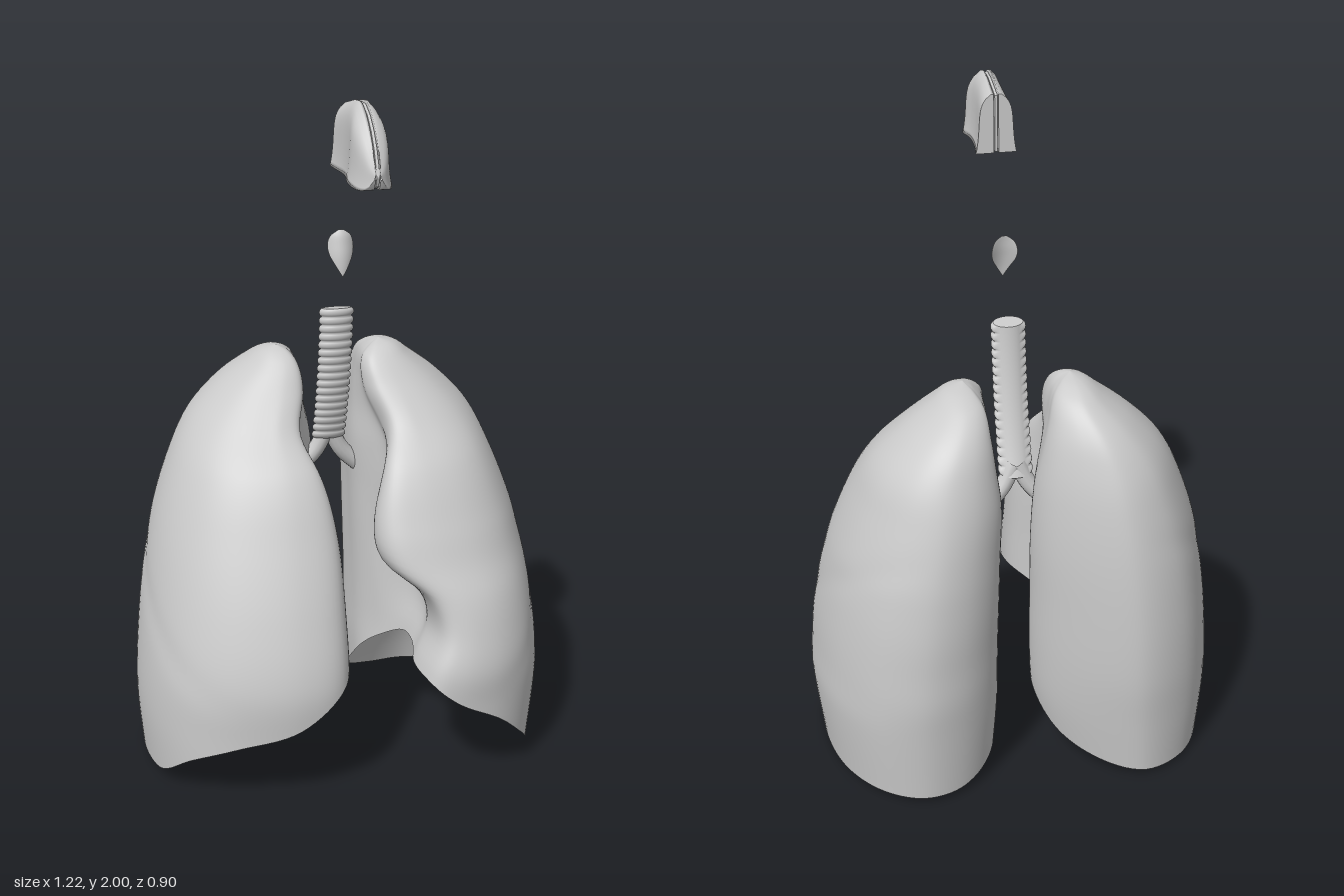
import * as THREE from 'three';

const V = (x, y, z) => new THREE.Vector3(x, y, z);
const material = new THREE.MeshStandardMaterial({ color: 0xcccccc, side: THREE.DoubleSide });

// Skin a list of closed rings (equal point counts) with smooth normals
function loft(rings, flip = false) {
  const n = rings[0].length, index = [];
  for (let j = 0; j < rings.length - 1; j++) {
    for (let i = 0; i < n; i++) {
      const a = j * n + i, c = j * n + (i + 1) % n, b = a + n, d = c + n;
      if (flip) index.push(a, c, b, b, c, d);
      else index.push(a, b, c, b, d, c);
    }
  }
  const g = new THREE.BufferGeometry().setFromPoints(rings.flat());
  g.setIndex(index);
  g.computeVertexNormals();
  return g;
}

function add(parent, name, geometry) {
  const mesh = new THREE.Mesh(geometry, material);
  mesh.name = name;
  parent.add(mesh);
}

// Smooth interpolation of column k in a table whose column 0 is the key
function sample(table, key, k) {
  const last = table.length - 1;
  let i = 0;
  while (i < last - 1 && key > table[i + 1][0]) i++;
  const slope = (a, b) => (table[b][k] - table[a][k]) / (table[b][0] - table[a][0]);
  const tangent = (j) => slope(Math.max(j - 1, 0), Math.min(j + 1, last));
  const h = table[i + 1][0] - table[i][0];
  const t = THREE.MathUtils.clamp((key - table[i][0]) / h, 0, 1), t2 = t * t, t3 = t2 * t;
  return (2 * t3 - 3 * t2 + 1) * table[i][k] + (t3 - 2 * t2 + t) * h * tangent(i)
    + (3 * t2 - 2 * t3) * table[i + 1][k] + (t3 - t2) * h * tangent(i + 1);
}

const TOP = 1.235;

// Outline seen from above, from the outer side over the front: x, z, height of the lower rim
const rightOutline = [
  [.61, 0, .03], [.58, .17, .04], [.5, .31, .13], [.38, .39, .19], [.2, .425, .245],
  [.065, .38, .35], [.03, .22, .41], [.04, .06, .37], [.035, -.06, .29], [.03, -.17, .2],
  [.08, -.29, .09], [.2, -.4, .035], [.33, -.45, .02], [.48, -.38, .02], [.58, -.2, .02],
];
const leftOutline = [
  [.61, 0, .01], [.58, .17, .01], [.5, .32, .1], [.38, .4, .2], [.22, .42, .27],
  [.1, .385, .33], [.05, .27, .35], [.06, .17, .37], [.06, .07, .36], [.065, -.03, .3],
  [.08, -.15, .2], [.1, -.32, .08], [.2, -.42, .03], [.33, -.45, .02], [.46, -.39, .02], [.57, -.22, .01],
];
// Extents by height: y, inner x at front, inner x at back, outer x, back z, front z
const rightExtent = [
  [0, .06, .08, .595, -.41, .41], [.2, .04, .04, .61, -.43, .42], [.36, .03, .03, .603, -.445, .425],
  [.55, .03, .03, .58, -.445, .375], [.75, .03, .03, .54, -.43, .295], [.92, .045, .04, .48, -.4, .21],
  [1.03, .07, .06, .42, -.365, .11], [1.12, .085, .08, .335, -.315, .035], [1.19, .105, .1, .245, -.24, -.02],
  [1.222, .13, .13, .2, -.17, -.06], [TOP, .16, .16, .16, -.1, -.1],
];
const leftExtent = [
  [0, .13, .05, .58, -.41, .41], [.25, .13, .03, .607, -.435, .42], [.36, .155, .03, .602, -.445, .425],
  [.47, .2, .03, .593, -.445, .4], [.57, .165, .03, .578, -.445, .37], [.66, .05, .03, .56, -.44, .33],
  [.76, .02, .03, .535, -.43, .29], [.92, .04, .03, .475, -.4, .21], [1.03, .06, .05, .42, -.365, .11],
  [1.12, .07, .07, .335, -.315, .035], [1.19, .085, .09, .245, -.24, -.02],
  [1.222, .12, .12, .2, -.17, -.06], [TOP, .15, .15, .15, -.1, -.1],
];

function makeLung(name, outline, extent, side) {
  const lung = new THREE.Group();
  lung.name = name;
  const loop = new THREE.CatmullRomCurve3(outline.map(([x, z, rim]) => V(x, rim, z)), true)
    .getPoints(120).slice(0, 120);

  const place = (p, y) => {
    const s = (p.x - .03) / .58, t = (p.z + .45) / .875, r = 1 - s;
    const blend = THREE.MathUtils.smoothstep(t, .48, .78);
    const inner = sample(extent, y, 2), back = sample(extent, y, 4);
    let x = inner * r + sample(extent, y, 3) * s;
    const z = back + t * (sample(extent, y, 5) - back);
    // Notch along the front inner edge
    x += (sample(extent, y, 1) - inner) * blend * r * r;
    // Hollow on the inner face where the airways enter
    const hollow = Math.exp(-(((y - .6) / .46) ** 6) - ((z - .04) / .12) ** 2);
    x += .095 * hollow * THREE.MathUtils.smoothstep(r, .5, .85);
    // Faint oblique fissure on the outer face
    const d = (y - .56 + .62 * z) / .045;
    x -= .003 * Math.exp(-d * d) * THREE.MathUtils.smoothstep(s, .4, .8);
    return V(side * x, y, z);
  };

  const body = [];
  for (let j = 0; j <= 60; j++) {
    const k = Math.sin(j / 60 * Math.PI / 2);
    body.push(loop.map((p) => place(p, p.y + (TOP - p.y) * k)));
  }
  add(lung, name + 'Body', loft(body, side < 0));

  // Hollow domed underside
  const base = [];
  for (let j = 0; j <= 16; j++) {
    const f = j / 16;
    base.push(body[0].map((p) => V(
      THREE.MathUtils.lerp(side * .33, p.x, f),
      THREE.MathUtils.lerp(.38, p.y, f ** 3),
      THREE.MathUtils.lerp(-.02, p.z, f))));
  }
  add(lung, name + 'Base', loft(base, side < 0));
  return lung;
}

// Windpipe: ridged in front, flattened and smooth behind, curving backwards as it descends
function makeWindpipe() {
  const group = new THREE.Group();
  group.name = 'windpipe';
  const rings = [], ridges = 17, steps = ridges * 6;
  for (let j = 0; j <= steps; j++) {
    const v = j / steps, y = .93 + .43 * v, drop = 1 - v;
    const ridge = Math.abs(Math.sin(v * ridges * Math.PI)) ** .6;
    const ring = [];
    for (let i = 0; i < 28; i++) {
      const a = i / 28 * Math.PI * 2, s = Math.sin(a);
      const r = s > -.45 ? .043 + .008 * ridge : .043;
      ring.push(V(r * Math.cos(a), y + .004 * s, -.007 - .04 * drop - .07 * drop * drop + r * .66 * s));
    }
    rings.push(ring);
  }
  add(group, 'windpipeTube', loft(rings));
  const rim = rings[steps];
  add(group, 'windpipeTop', loft([rim, rim.map(() => V(0, 1.36, -.007))]));

  for (const side of [1, -1]) {
    const tube = (name, r, pts) => add(group, name, new THREE.TubeGeometry(
      new THREE.CatmullRomCurve3(pts.map(([x, y, z]) => V(side * x, y, z))), 16, r, 12));
    tube('bronchus', .025, [[.005, .96, -.112], [.04, .89, -.12], [.1, .83, -.13], [.2, .76, -.13]]);
    tube('upperBranch', .015, [[.08, .85, -.125], [.13, .86, -.1], [.2, .9, -.07]]);
    tube('lowerBranch', .015, [[.1, .83, -.13], [.14, .75, -.11], [.2, .66, -.09]]);
  }
  return group;
}

// Leaf-shaped flap, curved backwards at its edges: y, half width, centre z
function makeThroatFlap() {
  const leaf = [[1.47, .001, .068], [1.5, .019, .066], [1.53, .034, .062], [1.56, .037, .056],
    [1.585, .028, .051], [1.6, .008, .046]];
  const rings = [];
  for (let j = 0; j <= 20; j++) {
    const y = 1.47 + .13 * j / 20, w = sample(leaf, y, 1), c = sample(leaf, y, 2), ring = [];
    for (let i = 0; i < 24; i++) {
      const a = i / 24 * Math.PI * 2, u = Math.cos(a);
      ring.push(V(w * u, y, c - 14 * w * w * u * u + .12 * w * Math.sin(a)));
    }
    rings.push(ring);
  }
  return loft(rings);
}

// Nose by depth: z, bottom y, ridge y, half width at the bottom
const nose = [[.155, 1.805, 1.975, .058], [.2, 1.803, 1.985, .052], [.25, 1.803, 1.996, .048],
  [.3, 1.803, 1.998, .05], [.35, 1.798, 1.975, .058], [.39, 1.792, 1.94, .053],
  [.42, 1.79, 1.9, .041], [.44, 1.798, 1.86, .026], [.45, 1.822, 1.834, .01]];

function makeNose() {
  const group = new THREE.Group();
  group.name = 'nose';
  for (const side of [1, -1]) {
    const rings = [];
    for (let j = 0; j <= 36; j++) {
      const z = .155 + .295 * j / 36;
      const low = sample(nose, z, 1), high = sample(nose, z, 2), w = sample(nose, z, 3);
      const ring = [];
      for (let i = 0; i <= 14; i++) {
        const t = i / 14;
        ring.push(V(side * w * (.25 + .58 * (1 - Math.exp(-8 * t)) + .17 * t ** 4), high + (low - high) * t, z));
      }
      for (let i = 14; i >= 0; i--) ring.push(V(side * .007, high + (low - high) * i / 14, z));
      rings.push(ring);
    }
    add(group, 'noseSide', loft(rings, side < 0));
    // Flat face at the back
    const n = rings[0].length;
    const points = [...rings[0].slice(0, n / 2), ...rings[0].slice(n / 2).reverse()];
    const face = new THREE.PlaneGeometry(1, 1, n / 2 - 1, 1);
    points.forEach((p, i) => face.attributes.position.setXYZ(i, p.x, p.y, p.z));
    face.computeVertexNormals();
    add(group, 'noseBackFace', face);
  }
  // Central wall
  const shape = new THREE.Shape([
    ...nose.map(([z, low]) => new THREE.Vector2(-z, low + .004)),
    ...[...nose].reverse().map(([z, , high]) => new THREE.Vector2(-z, high - .004)),
  ]);
  const septum = new THREE.ExtrudeGeometry(shape, { depth: .008, bevelEnabled: false });
  septum.translate(0, 0, -.004).rotateY(Math.PI / 2);
  add(group, 'noseSeptum', septum);
  return group;
}

export function createModel() {
  const model = new THREE.Group();
  model.name = 'breathingOrgans';
  model.add(makeLung('rightLung', rightOutline, rightExtent, -1));
  model.add(makeLung('leftLung', leftOutline, leftExtent, 1));
  model.add(makeWindpipe());
  add(model, 'throatFlap', makeThroatFlap());
  model.add(makeNose());
  return model;
}
